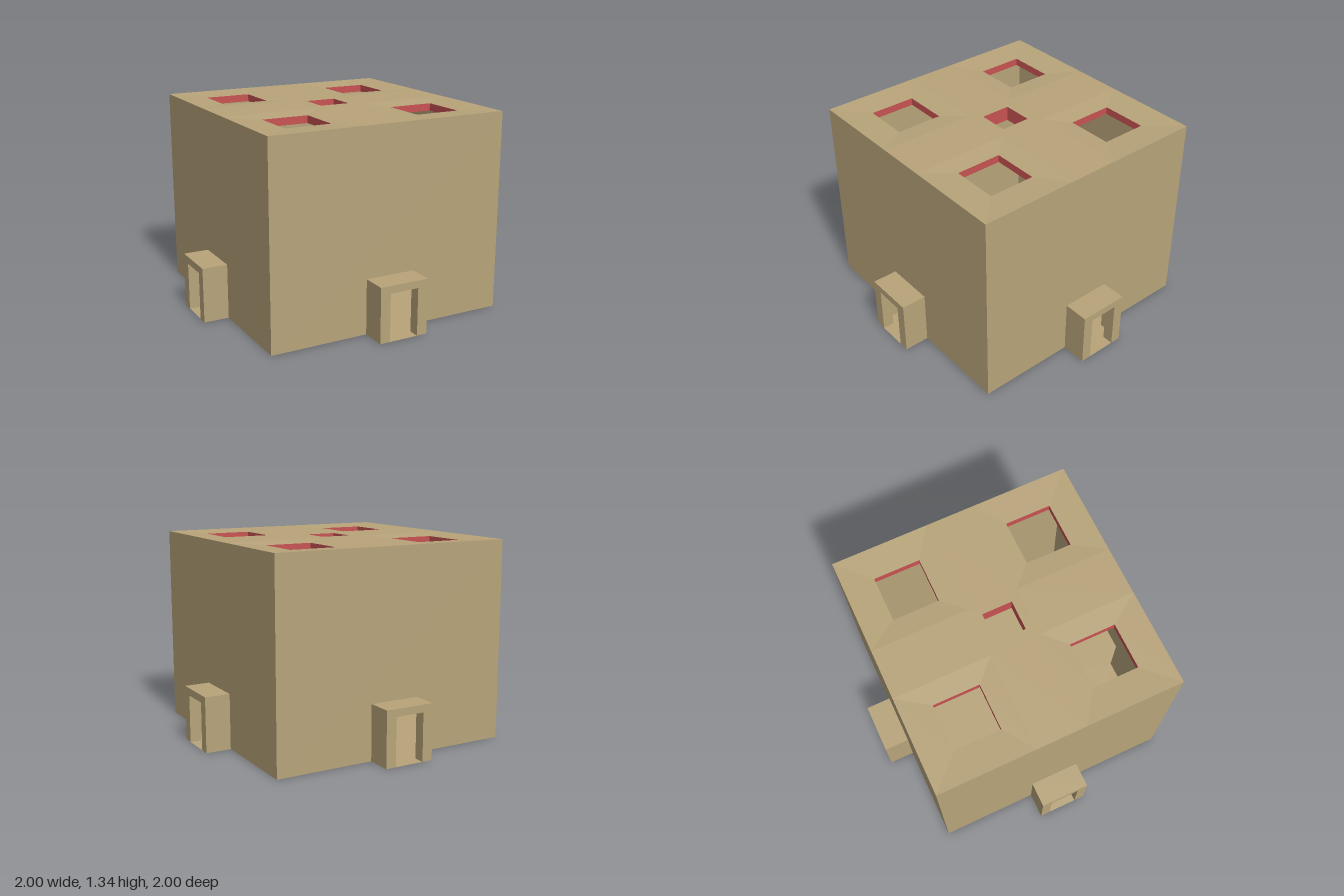
import * as THREE from 'three';

const HALF = 0.83, TOP = 1.34;          // main block
const PORCH = 0.17, PORCH_H = 0.37;     // porch half width and height
const DOOR = 0.1, DOOR_H = 0.32, FRAME = 0.075;
const PIT = 0.012;                      // dip of the roof towards each skylight

const tan = new THREE.MeshStandardMaterial({ color: 0xb8a47a, side: THREE.DoubleSide, flatShading: true });
const red = new THREE.MeshStandardMaterial({ color: 0xc85252, side: THREE.DoubleSide, flatShading: true });

function add(parent, name, geometry, material = tan) {
  const mesh = new THREE.Mesh(geometry, material);
  mesh.name = name;
  parent.add(mesh);
  return mesh;
}

// Corners of a square in plan, counter-clockwise seen from above
const square = (cx, cz, h, y) => [[-1, 1], [1, 1], [1, -1], [-1, -1]]
  .map(([sx, sz]) => [cx + sx * h, y, cz + sz * h]);

// Geometry from a list of four-cornered faces
function quads(faces) {
  const pos = faces.flatMap(([a, b, c, d]) => [a, b, c, a, c, d]).flat();
  const g = new THREE.BufferGeometry();
  g.setAttribute('position', new THREE.Float32BufferAttribute(pos, 3));
  g.computeVertexNormals();
  return g;
}

// Four faces joining an outer loop to an inner loop
const band = (outer, inner) => outer.map((p, i) => {
  const j = (i + 1) % 4;
  return [p, outer[j], inner[j], inner[i]];
});

// Wall outline with an opening that reaches the ground
function notched(w, h, ow, oh) {
  return new THREE.Shape([[-w, 0], [-ow, 0], [-ow, oh], [ow, oh], [ow, 0], [w, 0], [w, h], [-w, h]]
    .map(([x, y]) => new THREE.Vector2(x, y)));
}

// One side of the building: wall, porch shell and thick door frame
function makeSide() {
  const side = new THREE.Group();
  side.name = 'side';
  add(side, 'wall', new THREE.ShapeGeometry(notched(HALF, TOP, PORCH, PORCH_H))).position.z = HALF;

  const rim = z => [[-PORCH, 0, z], [-PORCH, PORCH_H, z], [PORCH, PORCH_H, z], [PORCH, 0, z]];
  const front = rim(1 - 0.001), back = rim(HALF);
  add(side, 'porchShell', quads([0, 1, 2].map(i => [front[i], front[i + 1], back[i + 1], back[i]].reverse())));

  const frame = new THREE.ExtrudeGeometry(notched(PORCH, PORCH_H, DOOR, DOOR_H), { depth: FRAME, bevelEnabled: false });
  add(side, 'doorFrame', frame).position.z = 1 - FRAME;
  return side;
}

export function createModel() {
  const model = new THREE.Group();
  model.name = 'building';

  for (let i = 0; i < 4; i++) {
    const side = makeSide();
    side.rotation.y = i * Math.PI / 2;
    model.add(side);
  }

  // Cross-shaped floor
  const floor = new THREE.Shape();
  const corner = [[1, -PORCH], [1, PORCH], [HALF, PORCH], [HALF, HALF], [PORCH, HALF]];
  for (let i = 0; i < 4; i++) {
    for (const [x, y] of corner) {
      const p = new THREE.Vector2(x, y).rotateAround(new THREE.Vector2(), i * Math.PI / 2);
      if (i === 0 && y === -PORCH) floor.moveTo(p.x, p.y);
      else floor.lineTo(p.x, p.y);
    }
  }
  add(model, 'floor', new THREE.ShapeGeometry(floor).rotateX(Math.PI / 2));

  // Roof: flat cross with a central opening, four shallow dips with skylights
  const mid = (HALF + PORCH) / 2, pitHalf = (HALF - PORCH) / 2;
  const skyC = 0.467, skyH = 0.157;
  const faces = band(square(0, 0, PORCH, TOP), square(0, 0, 0.103, TOP));
  const linings = [[0, 0, 0.103, TOP, 0.1]];
  for (const s of [-1, 1]) {
    const [a, b] = s < 0 ? [-HALF, -PORCH] : [PORCH, HALF];
    faces.push([[a, TOP, PORCH], [b, TOP, PORCH], [b, TOP, -PORCH], [a, TOP, -PORCH]]);
    faces.push([[-PORCH, TOP, b], [PORCH, TOP, b], [PORCH, TOP, a], [-PORCH, TOP, a]]);
    for (const t of [-1, 1]) {
      faces.push(...band(square(s * mid, t * mid, pitHalf, TOP), square(s * skyC, t * skyC, skyH, TOP - PIT)));
      linings.push([s * skyC, t * skyC, skyH, TOP - PIT, 0.05]);
    }
  }
  add(model, 'roof', quads(faces));

  // Red linings inside the roof openings
  for (const [x, z, h, y, depth] of linings) {
    add(model, 'skylightLining', quads(band(square(x, z, h, y), square(x, z, h, y - depth))), red);
  }
  return model;
}
